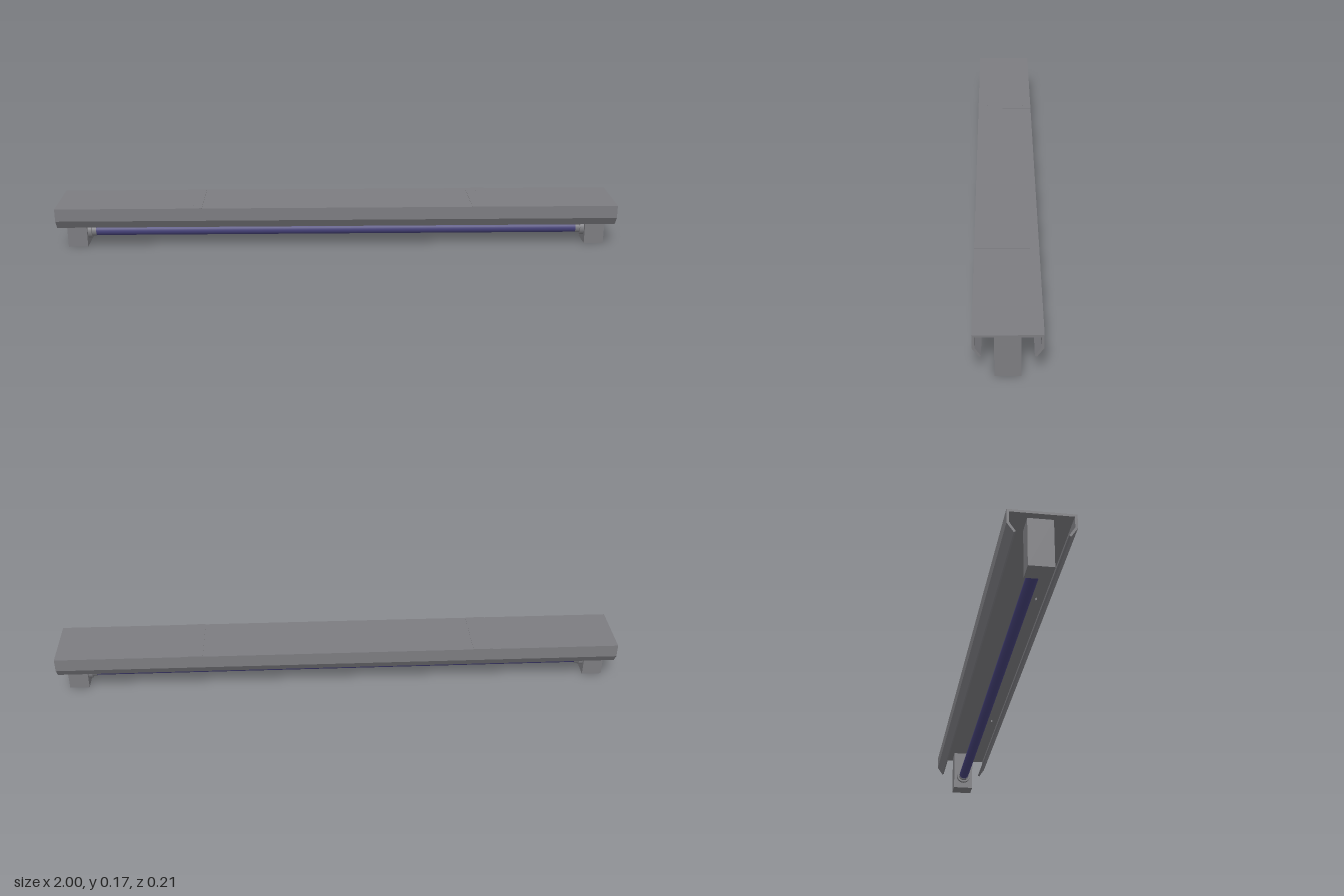
import * as THREE from 'three';

export function createModel() {
  const model = new THREE.Group();
  const metal = new THREE.MeshStandardMaterial({ color: 0x7c7c80 });
  metal.name = 'grey metal';
  const violet = new THREE.MeshStandardMaterial({ color: 0x454178 });
  violet.name = 'violet glass';

  function add(name, geometry, material, x, y, z) {
    const mesh = new THREE.Mesh(geometry, material);
    mesh.name = name;
    mesh.position.set(x, y, z);
    model.add(mesh);
    return mesh;
  }
  const rod = (r, length) => new THREE.CylinderGeometry(r, r, length, 24).rotateZ(Math.PI / 2);

  // Folded channel: half profile mirrored, then extruded along x
  const half = [
    [0.104, 0.167], [0.104, 0.121], [0.083, 0.09],
    [0.077, 0.094], [0.096, 0.123], [0.096, 0.159],
  ];
  const outer = half.slice(0, 4), inner = half.slice(4);
  const right = [...outer, ...inner];
  const left = right.map(([x, y]) => [-x, y]).reverse();
  const profile = new THREE.Shape([...right, ...left].map(([x, y]) => new THREE.Vector2(x, y)));
  const channel = new THREE.ExtrudeGeometry(profile, { depth: 2, bevelEnabled: false });
  channel.translate(0, 0, -1).rotateY(Math.PI / 2);
  add('channel', channel, metal, 0, 0, 0);

  // Lamp tube
  add('lampTube', rod(0.019, 1.78), violet, 0, 0.05, 0);

  for (const s of [-1, 1]) {
    // End blocks and tube sockets
    add('endBlock', new THREE.BoxGeometry(0.07, 0.16, 0.079), metal, s * 0.94, 0.08, 0);
    add('socketRing', rod(0.028, 0.014), metal, s * 0.898, 0.05, 0);
    add('socketCap', rod(0.021, 0.016), metal, s * 0.884, 0.05, 0);

    // Mounting plates lying on the channel, each with two screws
    const x = s * 0.515;
    add('mountingPlate', new THREE.BoxGeometry(0.07, 0.002, 0.208), metal, x, 0.1673, 0);
    for (const z of [-0.072, 0.07]) {
      add('screw', new THREE.CylinderGeometry(0.0035, 0.0035, 0.0185, 12), metal, x, 0.1595, z);
    }
  }
  return model;
}
